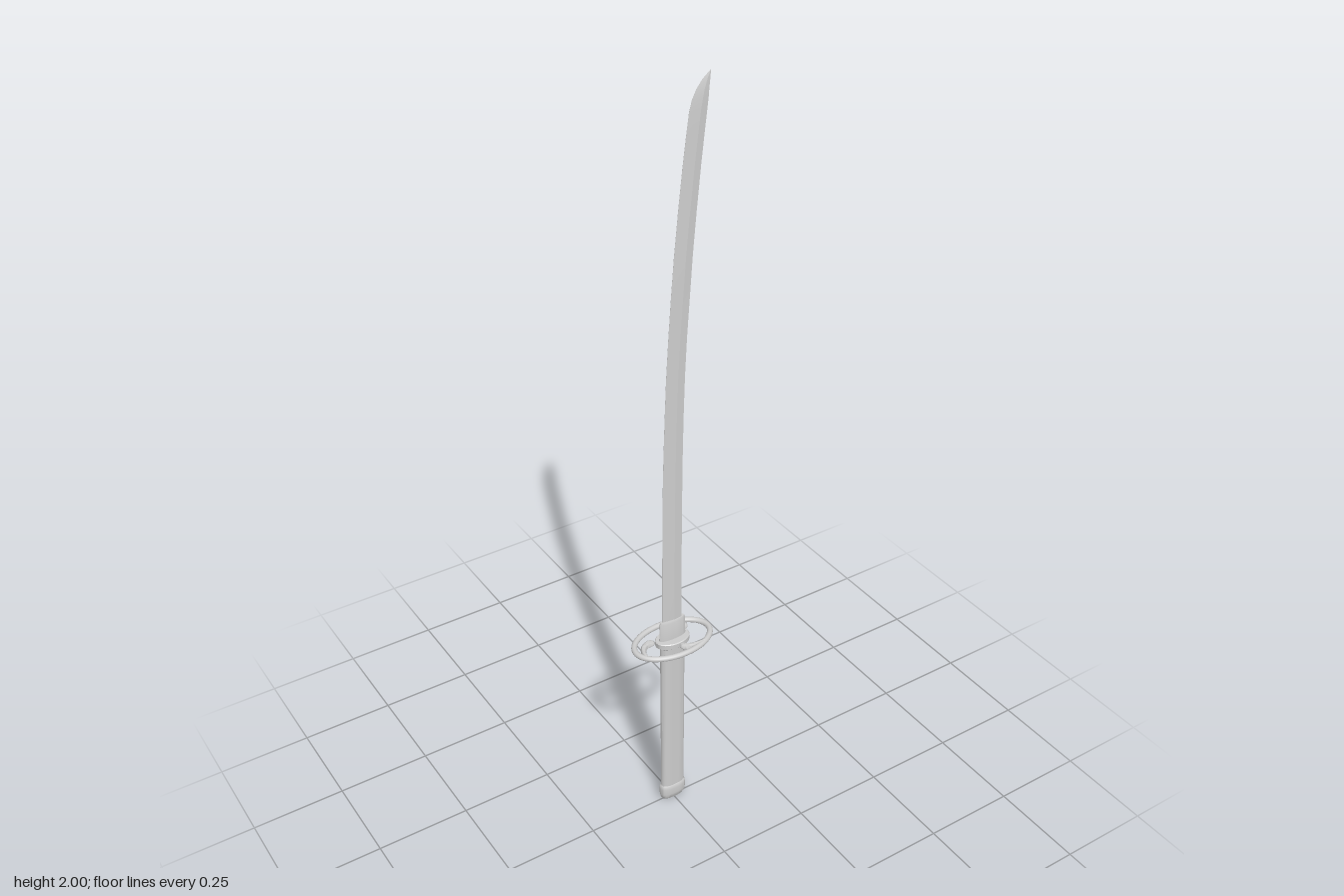
import * as THREE from 'three';
import { toCreasedNormals } from 'three/addons/utils/BufferGeometryUtils.js';

const material = new THREE.MeshStandardMaterial({ color: 0xcccccc, side: THREE.DoubleSide });

// Skins a list of equal-length rings of Vector3 and caps both ends.
function loft(rings, crease = 0.6) {
  const n = rings[0].length, pos = [], idx = [];
  rings.forEach(r => r.forEach(p => pos.push(p.x, p.y, p.z)));
  for (let i = 0; i < rings.length - 1; i++) {
    for (let j = 0; j < n; j++) {
      const a = i * n + j, b = i * n + (j + 1) % n, c = a + n, d = b + n;
      idx.push(a, c, b, b, c, d);
    }
  }
  [0, rings.length - 1].forEach((row, top) => {
    const c = rings[row].reduce((s, p) => s.add(p), new THREE.Vector3()).divideScalar(n);
    const k = pos.length / 3;
    pos.push(c.x, c.y, c.z);
    for (let j = 0; j < n; j++) {
      const a = row * n + j, b = row * n + (j + 1) % n;
      if (top) idx.push(k, b, a); else idx.push(k, a, b);
    }
  });
  const g = new THREE.BufferGeometry();
  g.setAttribute('position', new THREE.Float32BufferAttribute(pos, 3));
  g.setIndex(idx);
  return toCreasedNormals(g, crease);
}

// Horizontal superellipse ring; power 2 is a plain ellipse.
function oval(y, rx, rz, power = 2, n = 32) {
  const f = v => Math.sign(v) * Math.abs(v) ** (2 / power);
  return Array.from({ length: n }, (_, j) => {
    const t = j / n * Math.PI * 2;
    return new THREE.Vector3(rx * f(Math.cos(t)), y, rz * f(Math.sin(t)));
  });
}

// Tapering curl of the guard, running along a flat path of [x, z] points.
function curl(points, y) {
  const path = new THREE.CatmullRomCurve3(points.map(([x, z]) => new THREE.Vector3(x, y, z)));
  const steps = 28, rings = [];
  for (let i = 0; i <= steps; i++) {
    const s = i / steps, p = path.getPoint(s), t = path.getTangent(s);
    const dome = s > 0.8 ? Math.sqrt(Math.max(0.01, 1 - ((s - 0.8) / 0.2) ** 2)) : 1;
    const w = (0.005 + 0.006 * s) * dome, h = 0.008 * dome;
    rings.push(Array.from({ length: 14 }, (_, j) => {
      const a = j / 14 * Math.PI * 2, v = w * Math.sin(a);
      return new THREE.Vector3(p.x + t.z * v, y + h * Math.cos(a), p.z - t.x * v);
    }));
  }
  return loft(rings, 1);
}

export function createModel() {
  const model = new THREE.Group();
  const add = (name, geometry, parent = model) => {
    const mesh = new THREE.Mesh(geometry, material);
    mesh.name = name;
    parent.add(mesh);
    return mesh;
  };

  // Blade stations: height, cutting edge x, spine x
  const stations = [
    [0.56, -0.03, 0.026], [0.8, -0.029, 0.025], [1.0, -0.027, 0.026], [1.1, -0.0245, 0.027],
    [1.2, -0.021, 0.029], [1.3, -0.017, 0.032], [1.4, -0.011, 0.037], [1.5, -0.004, 0.044],
    [1.6, 0.004, 0.051], [1.7, 0.014, 0.06], [1.8, 0.025, 0.07], [1.87, 0.034, 0.078],
    [1.92, 0.041, 0.084], [1.945, 0.048, 0.087], [1.965, 0.058, 0.089], [1.985, 0.074, 0.092],
    [2.0, 0.0925, 0.094]
  ];
  const bladeRings = stations.map(([y, edge, spine]) => {
    const w = spine - edge, k = Math.min(1, w / 0.04);
    return [[1, 0.0035], [0.6, 0.0055], [0, 0.0003], [0, -0.0003], [0.6, -0.0055], [1, -0.0035]]
      .map(([u, z]) => new THREE.Vector3(edge + w * u, y, z * k));
  });
  add('blade', loft(bladeRings, 0.2));

  // Collar holding the blade above the guard
  add('bladeCollar', loft([
    oval(0.545, 0.039, 0.011), oval(0.605, 0.037, 0.01), oval(0.61, 0.035, 0.008)
  ]));

  // Guard: oval ring, centre plate and three curls
  const guard = new THREE.Group();
  guard.name = 'guard';
  model.add(guard);
  const guardY = 0.544;
  const ring = new THREE.CatmullRomCurve3(oval(guardY, 0.1065, 0.064), true);
  add('guardRing', new THREE.TubeGeometry(ring, 96, 0.0075, 14, true), guard);
  add('guardPlate', loft([
    oval(0.536, 0.046, 0.029), oval(0.538, 0.048, 0.031),
    oval(0.551, 0.048, 0.031), oval(0.553, 0.046, 0.029)
  ]), guard);
  [
    [[-0.094, 0.03], [-0.091, 0.01], [-0.08, -0.007], [-0.064, -0.015], [-0.044, -0.014]],
    [[0.018, -0.064], [0.036, -0.058], [0.05, -0.046], [0.055, -0.033], [0.045, -0.018]],
    [[0.066, 0.052], [0.046, 0.052], [0.028, 0.049], [0.014, 0.043], [0.004, 0.028]]
  ].forEach((points, i) => add('guardCurl' + (i + 1), curl(points, guardY), guard));

  // Grip with a flattened oval section
  add('grip', loft([oval(0.03, 0.034, 0.0145, 2.4), oval(0.54, 0.035, 0.0145, 2.4)]));

  // Rounded end cap
  add('pommel', loft([
    [0, 0.028, 0.010], [0.003, 0.032, 0.013], [0.01, 0.036, 0.016], [0.02, 0.038, 0.0175],
    [0.038, 0.038, 0.0175], [0.046, 0.037, 0.0165], [0.05, 0.034, 0.014]
  ].map(([y, rx, rz]) => oval(y, rx, rz, 2.4)), 0.8));

  return model;
}
